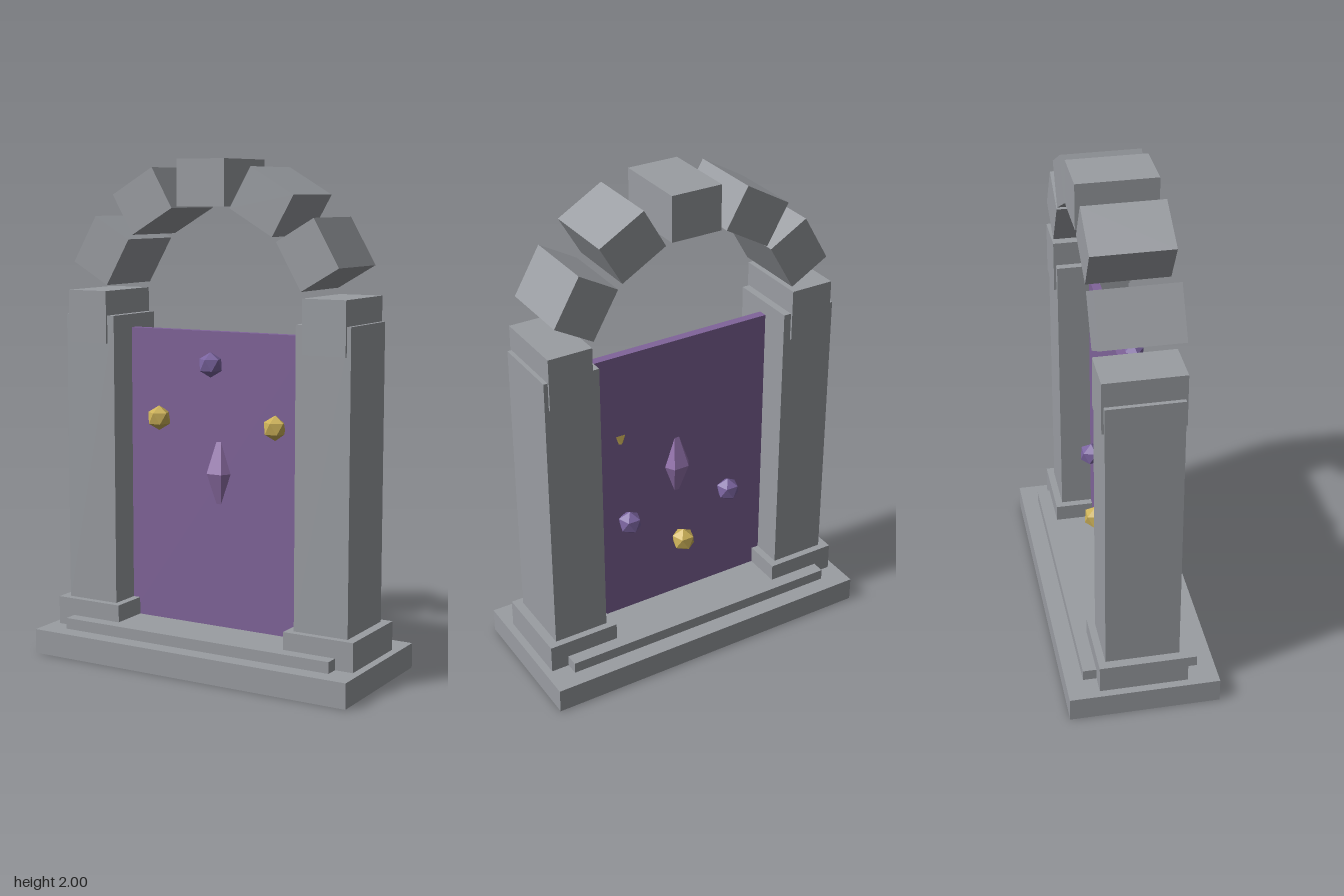
import * as THREE from 'three';

const mat = (name, color) => {
  const m = new THREE.MeshStandardMaterial({ color, flatShading: true });
  m.name = name;
  return m;
};

export function createModel() {
  const group = new THREE.Group();
  const stone = mat('grey stone', 0x9a9da2);
  const veil = mat('purple veil', 0x80649a);
  const violet = mat('violet gem', 0x7a649f);
  const gold = mat('gold gem', 0xcbb058);
  const lilac = mat('lilac crystal', 0x9473ad);

  const add = (name, geometry, material, x, y, z) => {
    const mesh = new THREE.Mesh(geometry, material);
    mesh.name = name;
    mesh.position.set(x, y, z);
    group.add(mesh);
    return mesh;
  };
  // Box given by its centre x, bottom and top
  const block = (name, material, x, y0, y1, w, d) =>
    add(name, new THREE.BoxGeometry(w, y1 - y0, d), material, x, (y0 + y1) / 2, 0);

  // Stepped base
  block('base', stone, 0, 0, 0.1, 1.41, 0.6);
  block('step', stone, 0, 0.1, 0.145, 1.2, 0.46);

  // Pillars on plinths
  for (const [side, s] of [['left', 1], ['right', -1]]) {
    block(side + 'Plinth', stone, s * 0.526, 0.1, 0.215, 0.296, 0.352);
    block(side + 'Pillar', stone, s * 0.523, 0.215, 1.387, 0.228, 0.294);
  }

  // Seven arch stones spread over a half circle
  const stoneGeometry = new THREE.BoxGeometry(0.21, 0.18, 0.312);
  for (let i = 0; i < 7; i++) {
    const a = (i - 3) * Math.PI / 6;
    const m = add('archStone' + (i + 1), stoneGeometry, stone,
      0.53 * Math.sin(a), 1.38 + 0.53 * Math.cos(a), 0);
    m.rotation.z = -a;
  }

  // Portal sheet filling the doorway
  block('portalVeil', veil, 0, 0.14, 1.333, 0.83, 0.036);

  // Six-sided crystal through the middle of the sheet
  const profile = [[0, -0.184], [0.065, 0], [0, 0.184]].map(p => new THREE.Vector2(...p));
  add('centreCrystal', new THREE.LatheGeometry(profile, 6, Math.PI / 6), lilac, 0, 0.77, 0);

  // Tilted ring of gems, each with a corner pointing up
  const gem = new THREE.IcosahedronGeometry(0.05, 0);
  gem.rotateX(-Math.atan((1 + Math.sqrt(5)) / 2));
  const gems = [
    [violet, 0, 1.208, 0.08], [gold, 0.255, 0.97, 0.02], [violet, 0.235, 0.585, -0.045],
    [gold, 0, 0.432, -0.07], [violet, -0.235, 0.58, -0.036], [gold, -0.265, 0.976, 0.04],
  ];
  gems.forEach(([m, x, y, z], i) => add('gem' + (i + 1), gem, m, x, y, z));

  return group;
}
